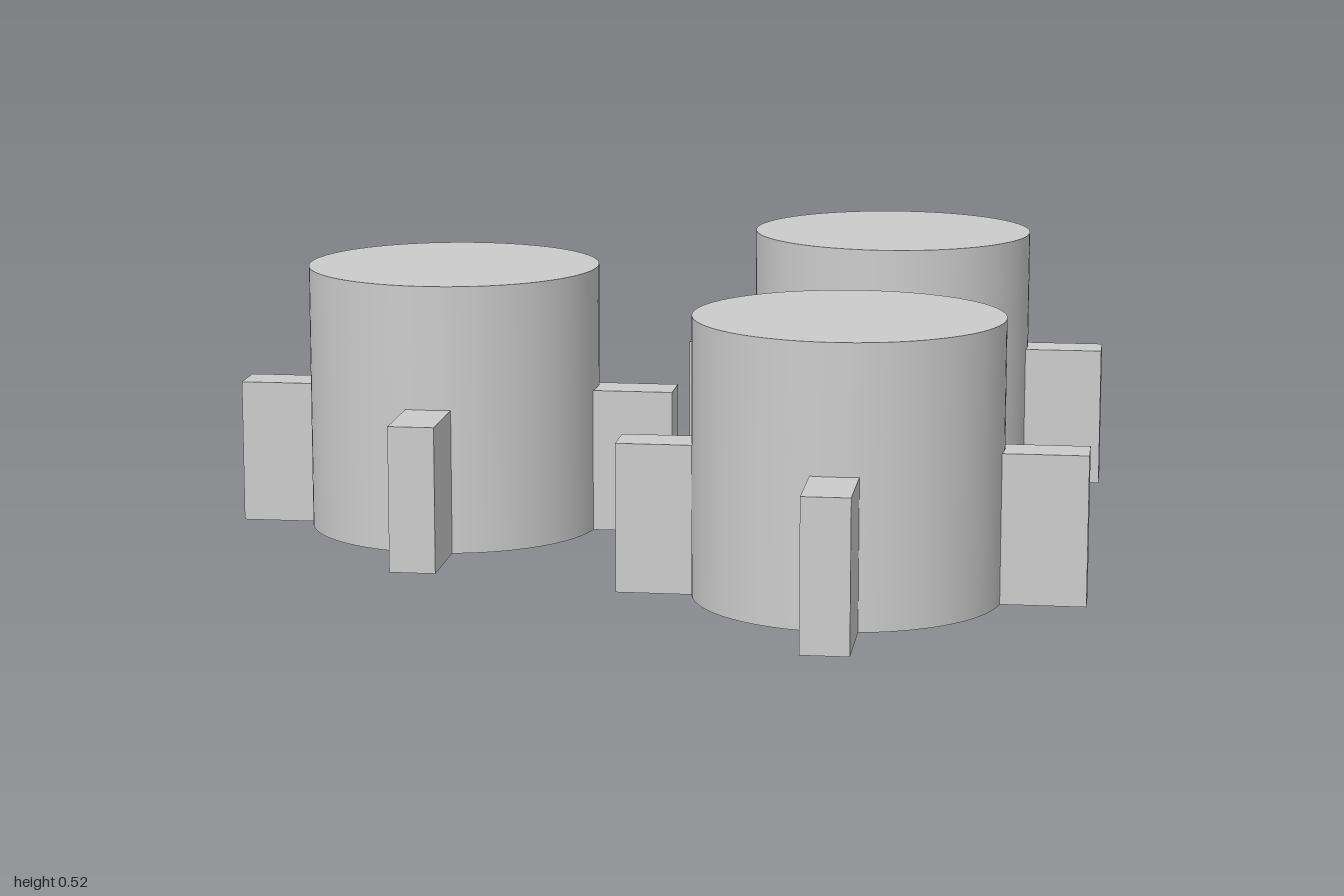
import * as THREE from 'three';

const material = new THREE.MeshStandardMaterial({ color: 0xcccccc });
const RADIUS = 0.289, HEIGHT = 0.525;
const FIN_HEIGHT = 0.283, FIN_WIDTH = 0.089, INSET = 0.01;

// One upright drum with four short fins standing on the ground
function createDrum() {
  const drum = new THREE.Group();
  const body = new THREE.Mesh(new THREE.CylinderGeometry(RADIUS, RADIUS, HEIGHT, 96), material);
  body.name = 'drumBody';
  body.position.y = HEIGHT / 2;
  drum.add(body);

  // Reach of each fin from the axis, by direction
  const fins = [
    ['leftFin', 1, 0, 0.444],
    ['rightFin', -1, 0, 0.428],
    ['frontFin', 0, 1, 0.456],
    ['backFin', 0, -1, 0.456],
  ];
  for (const [name, dx, dz, reach] of fins) {
    const start = RADIUS - INSET;
    const length = reach - start;
    const fin = new THREE.Mesh(
      new THREE.BoxGeometry(dx ? length : FIN_WIDTH, FIN_HEIGHT, dz ? length : FIN_WIDTH),
      material
    );
    fin.name = name;
    const middle = start + length / 2;
    fin.position.set(dx * middle, FIN_HEIGHT / 2, dz * middle);
    drum.add(fin);
  }
  return drum;
}

export function createModel() {
  const model = new THREE.Group();
  model.name = 'finnedDrums';

  // Three drums in a triangle
  const places = [
    ['frontLeftDrum', 0.407, 0.544],
    ['backLeftDrum', 0.407, -0.544],
    ['rightDrum', -0.426, 0.034],
  ];
  for (const [name, x, z] of places) {
    const drum = createDrum();
    drum.name = name;
    drum.position.set(x, 0, z);
    model.add(drum);
  }
  return model;
}
